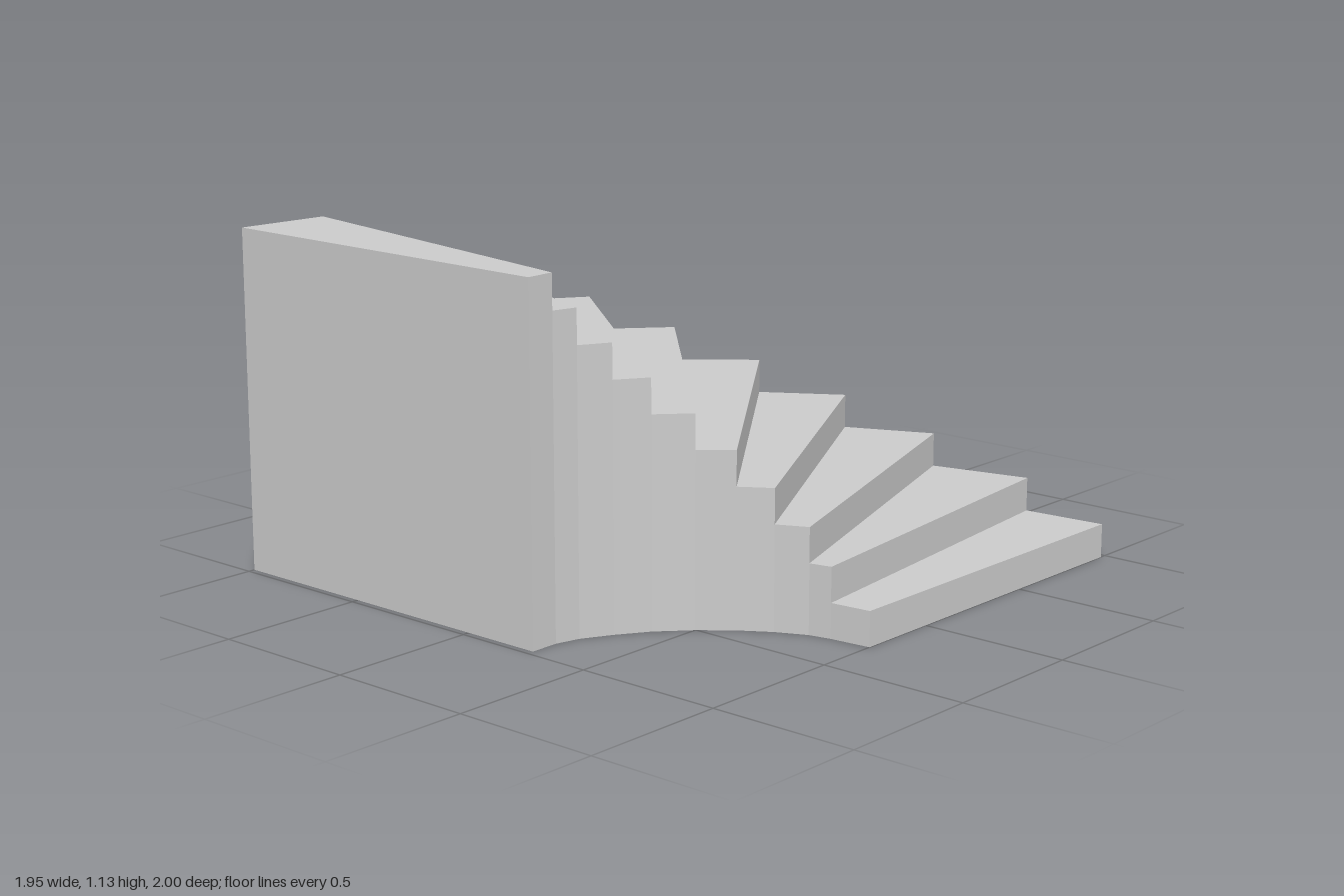
import * as THREE from 'three';

// Corners of the treads in plan [x, z], from the lowest step to the highest
const OUTER = [[0.977, 1], [0.952, 0.715], [0.875, 0.38], [0.747, 0.095], [0.585, -0.155], [0.398, -0.38],
  [0.18, -0.575], [-0.067, -0.745], [-0.347, -0.88], [-0.665, -0.967], [-0.977, -1]];
const INNER = [[-0.282, 1], [-0.296, 0.863], [-0.311, 0.79], [-0.358, 0.692], [-0.422, 0.595], [-0.503, 0.5],
  [-0.6, 0.41], [-0.7, 0.345], [-0.797, 0.293], [-0.878, 0.272], [-0.977, 0.272]];
const RISE = 0.1135;

const at = ([x, z], y) => [x, y, z];
// Upright quad standing on the plan line from p to q
const wall = (p, q, low, high) => [at(p, low), at(q, low), at(q, high), at(p, high)];

function quadMesh(name, quads, material) {
  const positions = quads.flatMap(([a, b, c, d]) => [a, b, c, a, c, d]).flat();
  const geometry = new THREE.BufferGeometry();
  geometry.setAttribute('position', new THREE.Float32BufferAttribute(positions, 3));
  geometry.computeVertexNormals();
  const mesh = new THREE.Mesh(geometry, material);
  mesh.name = name;
  return mesh;
}

export function createModel() {
  const model = new THREE.Group();
  model.name = 'curvedStaircase';
  const material = new THREE.MeshStandardMaterial({ color: 0xcccccc, flatShading: true });
  const count = OUTER.length - 1;

  // Solid wedge steps, each reaching down to the ground
  for (let i = 0; i < count; i++) {
    const [o0, o1, i0, i1] = [OUTER[i], OUTER[i + 1], INNER[i], INNER[i + 1]];
    const top = RISE * (i + 1);
    const step = new THREE.Group();
    step.name = `step${i + 1}`;
    step.add(
      quadMesh('tread', [[at(i0, top), at(o0, top), at(o1, top), at(i1, top)]], material),
      quadMesh('riser', [wall(i0, o0, top - RISE, top)], material),
      quadMesh('sideWalls', [wall(o0, o1, 0, top), wall(i1, i0, 0, top)], material),
      quadMesh('underside', [[at(i1, 0), at(o1, 0), at(o0, 0), at(i0, 0)]], material)
    );
    model.add(step);
  }

  // Flat wall closing the tall end
  model.add(quadMesh('endWall', [wall(OUTER[count], INNER[count], 0, RISE * count)], material));
  return model;
}
